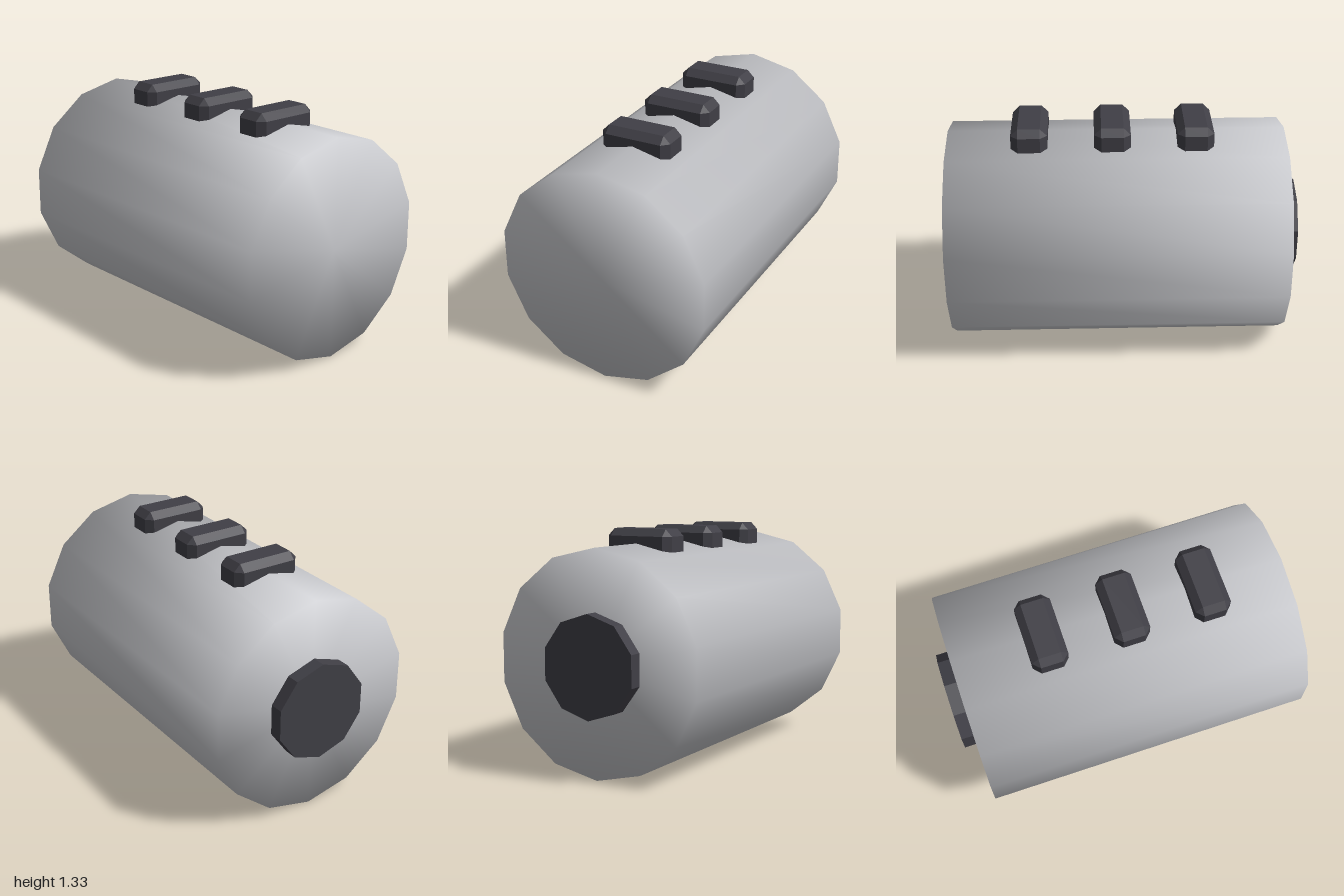
import * as THREE from 'three';
import { mergeVertices } from 'three/addons/utils/BufferGeometryUtils.js';
import { ConvexGeometry } from 'three/addons/geometries/ConvexGeometry.js';

const RADIUS = 0.625;
const FRONT = 1, BACK = -0.92;

// 14-sided drum whose normals blend smoothly round the rims
function drumGeometry() {
  const length = FRONT - BACK;
  let g = new THREE.CylinderGeometry(RADIUS, RADIUS, length, 14, 1);
  g.rotateX(Math.PI / 2);
  g.deleteAttribute('normal');
  g.deleteAttribute('uv');
  g = mergeVertices(g, 1e-4);
  const p = g.attributes.position;
  const normals = new Float32Array(p.count * 3);
  const n = new THREE.Vector3();
  for (let i = 0; i < p.count; i++) {
    n.set(p.getX(i) / RADIUS, p.getY(i) / RADIUS, Math.sign(p.getZ(i)) * 0.9).normalize();
    n.toArray(normals, i * 3);
  }
  g.setAttribute('normal', new THREE.BufferAttribute(normals, 3));
  return g;
}

// Block with chamfered top and upright edges; its base sinks into the drum
function ridgeGeometry() {
  const points = [];
  for (const sx of [-1, 1]) for (const sz of [-1, 1]) {
    points.push(new THREE.Vector3(sx * 0.165, 1.33, sz * 0.063));
    for (const y of [1.16, 1.29]) {
      points.push(new THREE.Vector3(sx * 0.165, y, sz * 0.103));
      points.push(new THREE.Vector3(sx * 0.205, y, sz * 0.063));
    }
  }
  return new ConvexGeometry(points);
}

export function createModel() {
  const model = new THREE.Group();
  model.name = 'ridgedCylinder';
  const lightGrey = new THREE.MeshStandardMaterial({ name: 'light grey', color: 0xc8c9cd });
  const charcoal = new THREE.MeshStandardMaterial({ name: 'charcoal', color: 0x403f46, flatShading: true });

  const add = (name, geometry, material, y, z) => {
    const mesh = new THREE.Mesh(geometry, material);
    mesh.name = name;
    mesh.position.set(0, y, z);
    model.add(mesh);
  };

  add('body', drumGeometry(), lightGrey, RADIUS, (FRONT + BACK) / 2);

  // Three ridges along the top
  const ridge = ridgeGeometry();
  [0.532, 0.065, -0.403].forEach((z, i) => add(`topRidge${i + 1}`, ridge, charcoal, 0, z));

  // Ten-sided disc on the back
  const disc = new THREE.CylinderGeometry(0.285, 0.285, 0.1, 10).rotateX(Math.PI / 2);
  add('backDisc', disc, charcoal, RADIUS, -0.95);

  return model;
}
